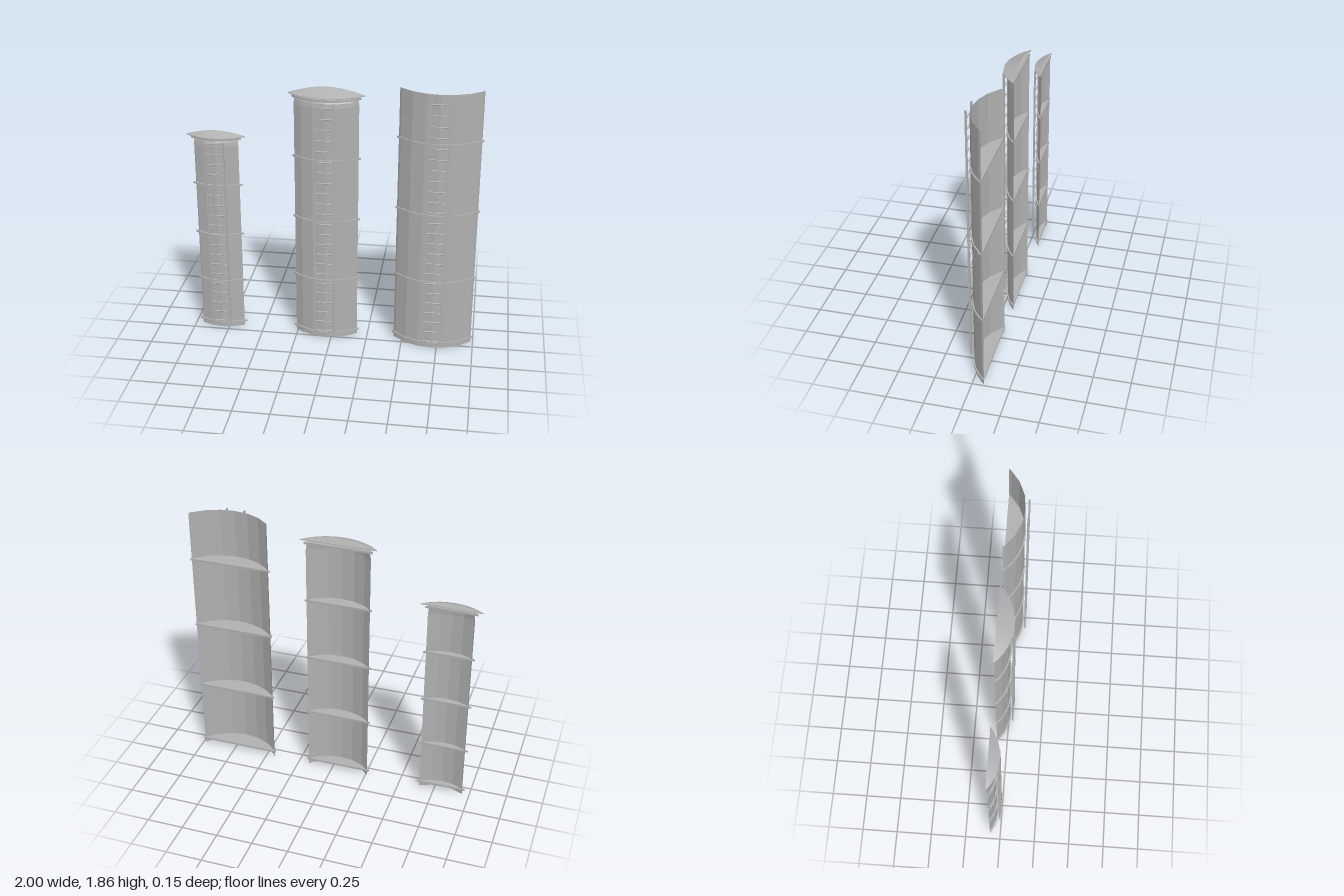
import * as THREE from 'three';

const AXIS = -0.32;  // z of the tank axes
const CUT = -0.076;  // tanks are sliced open along this plane

// Points [x, z] of a circle around the axis, in front of the cut plane
function arc(R, stepDeg) {
  const d = CUT - AXIS, step = stepDeg * Math.PI / 180;
  const at = (k) => [R * Math.sin(k * step), R * Math.cos(k * step)];
  let k = 0;
  while (at(k + 1)[1] > d) k++;
  const a = at(k), b = at(k + 1), t = (a[1] - d) / (a[1] - b[1]);
  const endX = a[0] + (b[0] - a[0]) * t;
  const pts = [[-endX, CUT]];
  for (let i = -k; i <= k; i++) {
    const p = at(i);
    pts.push([p[0], p[1] + AXIS]);
  }
  pts.push([endX, CUT]);
  return pts;
}

// Faceted surface through rows of [x, y, z] points, rows running upwards
function loft(rows) {
  const pos = [];
  for (let r = 0; r < rows.length - 1; r++) {
    for (let i = 0; i < rows[r].length - 1; i++) {
      const a = rows[r][i], b = rows[r][i + 1], c = rows[r + 1][i + 1], d = rows[r + 1][i];
      pos.push(...a, ...b, ...c, ...a, ...c, ...d);
    }
  }
  const g = new THREE.BufferGeometry();
  g.setAttribute('position', new THREE.Float32BufferAttribute(pos, 3));
  g.computeVertexNormals();
  return g;
}

// Solid plate shaped as a circle segment
function slab(R, y, h) {
  const shape = new THREE.Shape(arc(R, 7.5).map(([x, z]) => new THREE.Vector2(x, -z)));
  const g = new THREE.ExtrudeGeometry(shape, { depth: h, bevelEnabled: false });
  g.rotateX(-Math.PI / 2);
  g.translate(0, y - h / 2, 0);
  return g;
}

export function createModel() {
  const model = new THREE.Group();
  const steel = new THREE.MeshStandardMaterial({ color: 0xb0b0b0, side: THREE.DoubleSide });
  steel.name = 'greySteel';

  function add(parent, name, geometry, x = 0, y = 0, z = 0) {
    const m = new THREE.Mesh(geometry, steel);
    m.name = name;
    m.position.set(x, y, z);
    parent.add(m);
    return m;
  }

  function tower({ name, x, R, ringR, top, rings, bolted, ladderTop, rungs, roof }) {
    const g = new THREE.Group();
    g.name = name;
    g.position.x = x;
    model.add(g);

    // Curved wall, drawn in slightly under a roof
    const outline = arc(R, 15);
    const level = (y, s = 1) => outline.map(([px, pz]) =>
      [px * s, y, Math.max(CUT, AXIS + (pz - AXIS) * s)]);
    const rows = roof
      ? [level(0), level(top - 0.045), level(top - 0.015, 0.988), level(top, 0.965)]
      : [level(0), level(top)];
    add(g, 'wall', loft(rows));

    // Stiffening rings
    for (const y of rings) add(g, 'ring', slab(ringR, y, 0.013));

    // Bolts around one ring
    for (const deg of [-45, -22.5, 0, 22.5, 45]) {
      const a = deg * Math.PI / 180, r = ringR + 0.003;
      const z = AXIS + r * Math.cos(a);
      if (z < CUT + 0.005) continue;
      const bolt = add(g, 'bolt', new THREE.BoxGeometry(0.009, 0.008, 0.012), r * Math.sin(a), bolted, z);
      bolt.rotation.y = a;
    }

    // Ladder
    const ladder = new THREE.Group();
    ladder.name = 'ladder';
    ladder.position.z = AXIS + R + 0.021;
    g.add(ladder);
    const bottom = 0.052, h = ladderTop - bottom;
    for (const s of [-1, 1])
      add(ladder, 'ladderRail', new THREE.BoxGeometry(0.011, h, 0.012), s * 0.061, bottom + h / 2, 0);
    for (let i = 0; i < rungs; i++) {
      const rung = add(ladder, 'rung', new THREE.CylinderGeometry(0.004, 0.004, 0.115, 8), 0, 0.064 + i * 0.0755, 0);
      rung.rotation.z = Math.PI / 2;
    }

    // Conical roof over a flat top plate
    if (roof) {
      add(g, 'topPlate', slab(ringR, roof.plateY, 0.015));
      add(g, 'roofBase', slab(roof.R, roof.y, 0.005));
      const edge = arc(roof.R, 7.5), slope = roof.h / (roof.R - (CUT - AXIS));
      const roofRows = [0, 0.25, 0.5, 0.75, 1].map((t) => edge.map(([px, pz]) => {
        const z = pz + (CUT - pz) * t;
        const rise = Math.max(0, roof.R - Math.hypot(px, z - AXIS));
        return [px, roof.y + 0.002 + slope * rise, z];
      }));
      add(g, 'roof', loft(roofRows));
    }
  }

  tower({
    name: 'smallTower', x: -0.797, R: 0.289, ringR: 0.299, top: 1.437,
    rings: [0.038, 0.373, 0.737, 1.107], bolted: 0.737, ladderTop: 1.433, rungs: 19,
    roof: { R: 0.318, y: 1.461, h: 0.034, plateY: 1.444 },
  });
  tower({
    name: 'mediumTower', x: -0.043, R: 0.329, ringR: 0.337, top: 1.76,
    rings: [0.038, 0.455, 0.902, 1.347], bolted: 0.902, ladderTop: 1.758, rungs: 23,
    roof: { R: 0.355, y: 1.788, h: 0.05, plateY: 1.767 },
  });
  tower({
    name: 'largeTower', x: 0.712, R: 0.368, ringR: 0.3755, top: 1.86,
    rings: [0.038, 0.513, 1.013, 1.518], bolted: 1.013, ladderTop: 1.86, rungs: 24,
  });

  return model;
}
